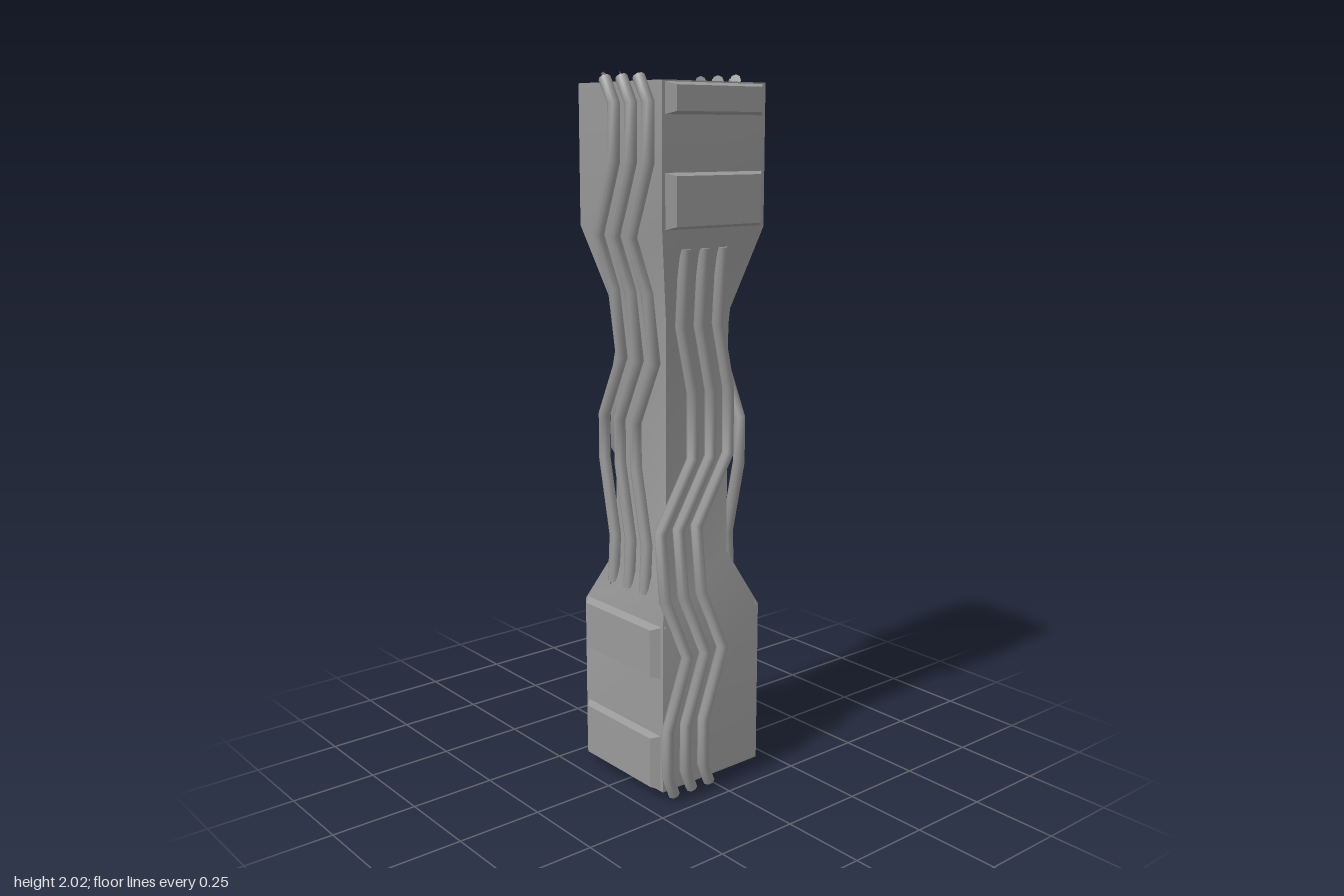
import * as THREE from 'three';

const grey = new THREE.MeshStandardMaterial({ color: 0x999999 });
grey.name = 'grey stone';

const R = 0.017; // cable radius

// Path with straight runs and mitred corners
class Polyline extends THREE.Curve {
  constructor(points) { super(); this.points = points; }
  getPoint(t, target = new THREE.Vector3()) {
    const n = this.points.length - 1;
    const i = Math.min(Math.floor(t * n + 1e-9), n - 1);
    return target.lerpVectors(this.points[i], this.points[i + 1], t * n - i);
  }
  getPointAt(t, target) { return this.getPoint(t, target); }
  getTangentAt(t, target) { return this.getTangent(t, target); }
}

function add(parent, name, geometry) {
  const mesh = new THREE.Mesh(geometry, grey);
  mesh.name = name;
  parent.add(mesh);
  return mesh;
}

// Square pillar with a narrow waist: [height, half width] per ring
function bodyGeometry() {
  const rings = [[0.012, 0.181], [0.5, 0.181], [0.66, 0.114], [1.36, 0.114], [1.6, 0.181], [1.985, 0.181]];
  const n = rings.length - 1;
  const g = new THREE.BoxGeometry(2, 1, 2, 1, n, 1);
  const p = g.attributes.position;
  for (let i = 0; i < p.count; i++) {
    const [y, w] = rings[Math.round((p.getY(i) + 0.5) * n)];
    p.setXYZ(i, p.getX(i) * w, y, p.getZ(i) * w);
  }
  g.computeVertexNormals();
  return g;
}

// Raised band on a +z face with its outer edges bevelled
function plateGeometry(y0, y1) {
  const w = 0.181, h = (y1 - y0) / 2, depth = 0.021;
  const g = new THREE.BoxGeometry(2, 2, 1);
  const p = g.attributes.position;
  for (let i = 0; i < p.count; i++) {
    const outer = p.getZ(i) > 0;
    p.setXYZ(i, p.getX(i) * (outer ? w - 0.032 : w),
      (y0 + y1) / 2 + p.getY(i) * (outer ? h - 0.012 : h),
      outer ? w + depth : w - 0.01);
  }
  g.computeVertexNormals();
  return g;
}

// Three parallel cables on a +z face; path rows are [across, height, out]
function addCables(parent, name, path, spacing) {
  for (let k = 0; k < 3; k++) {
    const pts = path.map(([x, y, z]) => new THREE.Vector3(x + k * spacing, y, z));
    add(parent, name, new THREE.TubeGeometry(new Polyline(pts), pts.length - 1, R, 8));
    // flat end caps
    const last = pts.length - 1;
    for (const [end, inner] of [[0, 1], [last, last - 1]]) {
      const cap = add(parent, name + 'End', new THREE.CircleGeometry(R, 8));
      cap.position.copy(pts[end]);
      cap.lookAt(pts[end].clone().multiplyScalar(2).sub(pts[inner]));
    }
  }
}

// Front and back cables climb from the base to below the upper bands
const risingPath = [
  [-0.153, 0.005, 0.196], [-0.183, 0.07, 0.205], [-0.183, 0.21, 0.205], [-0.108, 0.41, 0.2],
  [-0.165, 0.58, 0.172], [-0.165, 0.77, 0.15], [-0.038, 0.96, 0.138], [-0.038, 1.15, 0.138],
  [-0.088, 1.34, 0.148], [-0.088, 1.55, 0.163],
];
// Side cables hang from the top to above the lower bands (across = -z)
const hangingPath = [
  [0.10, 1.995, 0.193], [0.145, 1.93, 0.198], [0.145, 1.78, 0.198], [0.06, 1.58, 0.19],
  [0.10, 1.43, 0.168], [0.10, 1.24, 0.143], [0.003, 1.06, 0.133], [0.003, 0.93, 0.133],
  [0.056, 0.71, 0.138], [0.056, 0.57, 0.145],
];

export function createModel() {
  const model = new THREE.Group();
  model.name = 'pillar';
  const core = new THREE.Group();
  core.name = 'core';
  core.position.set(-0.003, 0, -0.01);
  model.add(core);

  add(core, 'body', bodyGeometry());

  for (let i = 0; i < 4; i++) {
    const face = new THREE.Group();
    face.name = ['frontFace', 'leftFace', 'backFace', 'rightFace'][i];
    face.rotation.y = i * Math.PI / 2;
    core.add(face);
    if (i % 2 === 0) {
      add(face, 'upperBand', plateGeometry(1.895, 1.985));
      add(face, 'upperBand', plateGeometry(1.6, 1.755));
      addCables(face, 'risingCable', risingPath, 0.066);
    } else {
      add(face, 'lowerBand', plateGeometry(0.35, 0.51));
      add(face, 'lowerBand', plateGeometry(0.012, 0.185));
      addCables(face, 'hangingCable', hangingPath, -0.073);
    }
  }
  return model;
}
